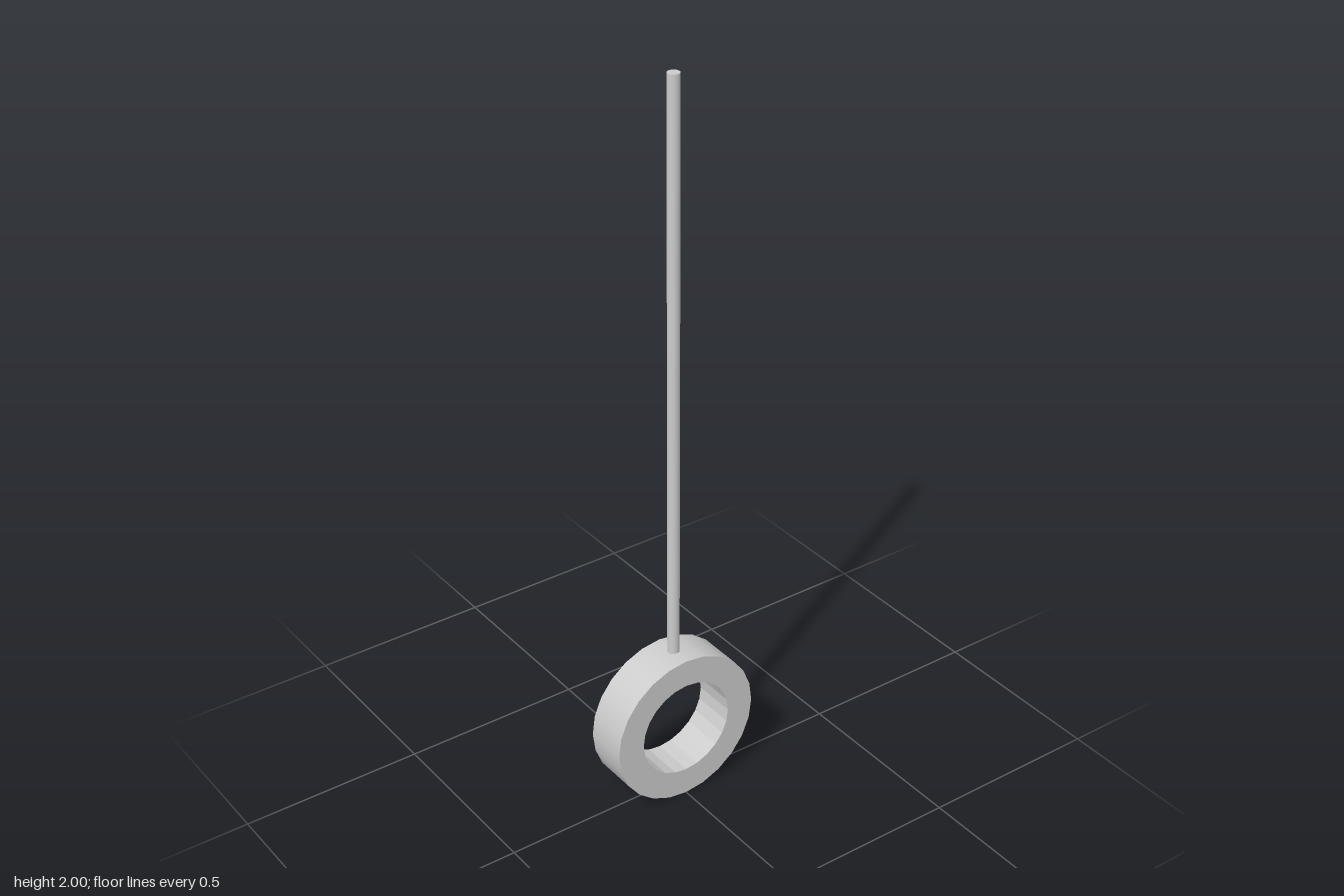
import * as THREE from 'three';

const OUTER = 0.212, INNER = 0.135, HALF_WIDTH = 0.06, SIDES = 24;
const ROD_RADIUS = 0.016, ROD_BOTTOM = 0.39, TOP = 2;

export function createModel() {
  const model = new THREE.Group();
  const smooth = new THREE.MeshStandardMaterial({ color: 0xcccccc });
  const faceted = new THREE.MeshStandardMaterial({ color: 0xcccccc, flatShading: true });

  const add = (parent, name, geometry, material) => {
    const mesh = new THREE.Mesh(geometry, material);
    mesh.name = name;
    parent.add(mesh);
    return mesh;
  };

  // Ring: each band is a lathe segment around y, then tipped so its axis runs along x
  const ring = new THREE.Group();
  ring.name = 'ring';
  const band = (name, from, to, material) =>
    add(ring, name, new THREE.LatheGeometry([new THREE.Vector2(...from), new THREE.Vector2(...to)], SIDES), material);
  band('ringOuterWall', [OUTER, -HALF_WIDTH], [OUTER, HALF_WIDTH], smooth);
  band('ringLeftFace', [OUTER, HALF_WIDTH], [INNER, HALF_WIDTH], smooth);
  band('ringInnerWall', [INNER, HALF_WIDTH], [INNER, -HALF_WIDTH], faceted);
  band('ringRightFace', [INNER, -HALF_WIDTH], [OUTER, -HALF_WIDTH], smooth);
  ring.rotation.z = -Math.PI / 2;
  ring.position.y = OUTER;
  model.add(ring);

  // Rod: rises from inside the top of the ring
  const rod = add(model, 'rod',
    new THREE.CylinderGeometry(ROD_RADIUS, ROD_RADIUS, TOP - ROD_BOTTOM, SIDES), smooth);
  rod.position.set(0, (TOP + ROD_BOTTOM) / 2, -0.002);

  return model;
}
